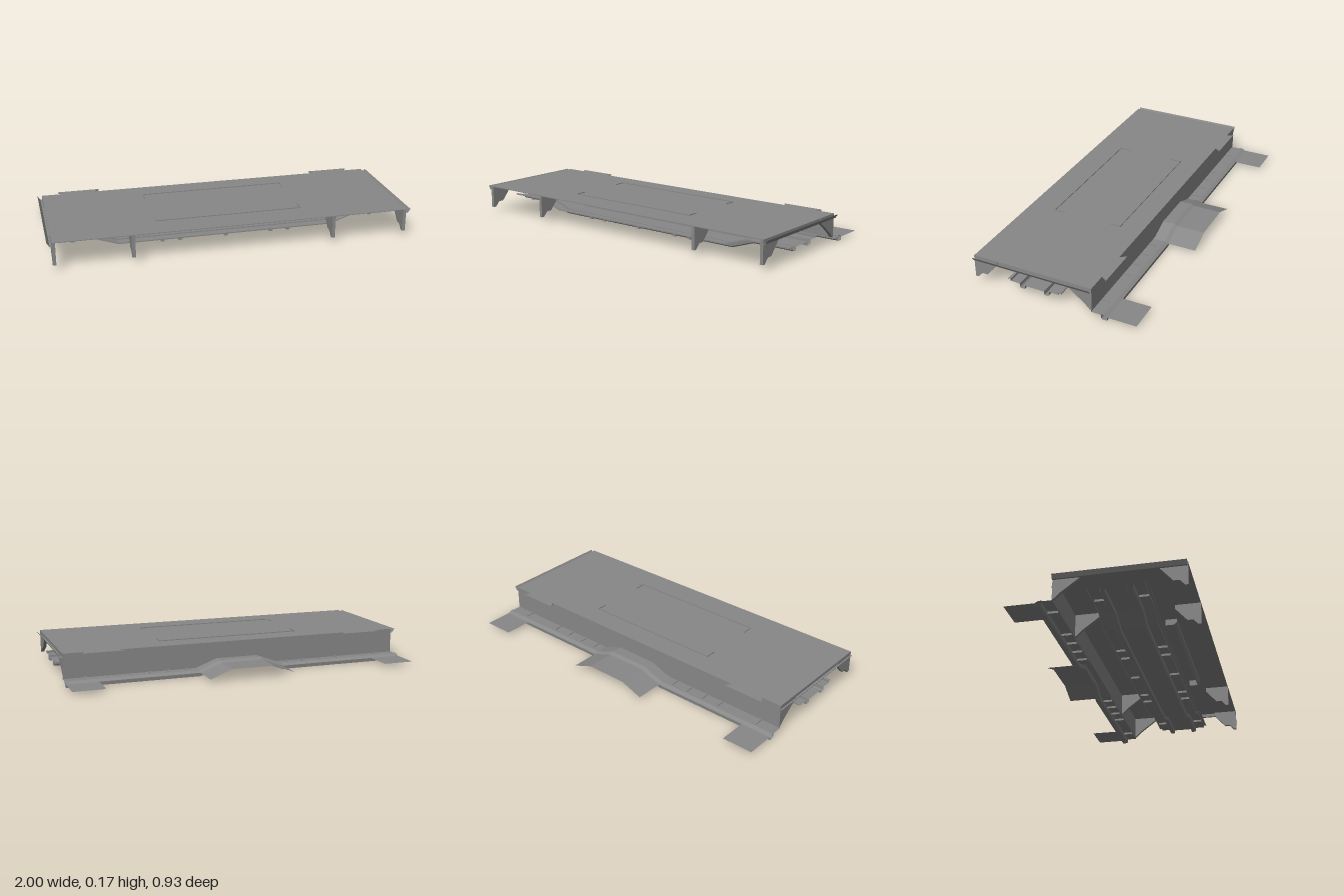
import * as THREE from 'three';

export function createModel() {
  const model = new THREE.Group();
  const grey = new THREE.MeshStandardMaterial({ color: 0x888888, flatShading: true, side: THREE.DoubleSide });
  grey.name = 'concrete grey';

  function add(name, geometry, x = 0, y = 0, z = 0) {
    const mesh = new THREE.Mesh(geometry, grey);
    mesh.name = name;
    mesh.position.set(x, y, z);
    model.add(mesh);
    return mesh;
  }
  const box = (name, w, h, d, x, y, z) => add(name, new THREE.BoxGeometry(w, h, d), x, y, z);

  // Sheet swept along x: section is [z, y] points, rise(x) lifts each station
  function sweep(name, section, stations, rise = () => 0) {
    const pos = [];
    for (let i = 0; i < stations.length - 1; i++) {
      for (let j = 0; j < section.length - 1; j++) {
        const p = (s, k) => [stations[s], section[k][1] + rise(stations[s]), section[k][0]];
        const a = p(i, j), b = p(i + 1, j), c = p(i + 1, j + 1), d = p(i, j + 1);
        pos.push(...a, ...b, ...c, ...a, ...c, ...d);
      }
    }
    const g = new THREE.BufferGeometry();
    g.setAttribute('position', new THREE.Float32BufferAttribute(pos, 3));
    g.computeVertexNormals();
    return add(name, g);
  }

  // Upright plate in the z-y plane, given thickness along x
  function sidePlate(name, points, thickness, x) {
    const shape = new THREE.Shape(points.map(([z, y]) => new THREE.Vector2(-z, y)));
    const g = new THREE.ExtrudeGeometry(shape, { depth: thickness, bevelEnabled: false });
    g.translate(0, 0, -thickness / 2);
    g.rotateY(Math.PI / 2);
    return add(name, g, x);
  }

  // Upper deck and rear wall
  box('deck', 1.95, 0.004, 0.68, 0, 0.162, 0.122);
  box('rearWall', 1.95, 0.129, 0.004, 0, 0.0985, -0.216);

  for (const side of [-1, 1]) {
    // Gutter and sloped kerb at each end of the deck
    const profile = [[0.971, 0.163], [0.971, 0.141], [0.985, 0.141], [1, 0.163]];
    for (let i = 0; i < 3; i++) {
      const [[x0, y0], [x1, y1]] = [profile[i], profile[i + 1]];
      const g = new THREE.PlaneGeometry(Math.hypot(x1 - x0, y1 - y0), 0.68);
      g.rotateX(-Math.PI / 2);
      g.rotateZ(Math.atan2(y1 - y0, x1 - x0));
      const strip = add('endKerb', g, (x0 + x1) / 2, (y0 + y1) / 2, 0.122);
      if (side < 0) {
        strip.position.x *= -1;
        strip.rotation.y = Math.PI;
      }
    }

    // Flared tabs on the rear edge of the deck
    const tab = new THREE.Shape([
      new THREE.Vector2(-0.095, 0.218), new THREE.Vector2(0.095, 0.218),
      new THREE.Vector2(0.118, 0.252), new THREE.Vector2(-0.118, 0.252),
    ]);
    const tabGeometry = new THREE.ExtrudeGeometry(tab, { depth: 0.007, bevelEnabled: false });
    tabGeometry.rotateX(-Math.PI / 2);
    add('rearTab', tabGeometry, side * 0.763, 0.157, 0);

    // Brackets below the deck
    for (const x of [0.966, 0.552]) {
      sidePlate('frontBracket', [[0.325, 0.161], [0.325, 0.138], [0.39, 0.065], [0.42, 0.065],
        [0.447, 0.036], [0.463, 0.036], [0.463, 0.161]], 0.018, side * x);
      sidePlate('rearBracket', [[-0.08, 0.161], [-0.08, 0.138], [-0.178, 0.065],
        [-0.208, 0.035], [-0.217, 0.035], [-0.217, 0.161]], 0.018, side * x);
    }
  }

  // Two thin C-shaped frames standing through the deck
  for (const [outer, inner] of [[0.308, 0.245], [-0.093, -0.03]]) {
    const chamfer = outer + Math.sign(inner - outer) * 0.015;
    sweep('frameFace', [[outer, 0.169], [outer, 0.14], [chamfer, 0.126]], [-0.408, 0.408]);
    for (const x of [-0.408, 0.408]) {
      sidePlate('frameArm', [[outer, 0.169], [outer, 0.14], [chamfer, 0.126],
        [inner, 0.126], [inner, 0.169]], 0.002, x);
    }
  }

  // Lower track: low in the middle, ramped up toward both ends
  const clamp = THREE.MathUtils.clamp;
  const trackRise = x => 0.045 * clamp((Math.abs(x) - 0.605) / 0.132, 0, 1);
  const half = [[0.262, 0.031], [0.262, 0.037], [0.247, 0.037], [0.247, 0.026], [0.194, 0.026],
    [0.192, 0.006], [0.186, 0], [0.165, 0], [0.163, 0.02]];
  const mirrored = half.map(([z, y]) => [0.215 - z, y]).reverse();
  sweep('lowerTrack', [...half, ...mirrored], [-0.978, -0.737, -0.605, 0.605, 0.737, 0.978], trackRise);
  for (const x of [-0.85, -0.36, -0.26, 0, 0.26, 0.36, 0.85]) {
    for (const z of [0.222, -0.007]) box('trackTie', 0.02, 0.012, 0.05, x, 0.02 + trackRise(x), z);
  }

  // Rear track, humped in the middle
  const rearRise = x => 0.046 * clamp((0.243 - Math.abs(x)) / 0.123, 0, 1);
  const humpStations = [-0.243, -0.12, 0.12, 0.243];
  sweep('rearTrack', [[-0.215, 0.036], [-0.215, 0.026], [-0.27, 0.026], [-0.272, 0.006], [-0.278, 0],
    [-0.303, 0], [-0.305, 0.019]], [-0.978, ...humpStations, 0.978], rearRise);
  sweep('rearRailCap', [[-0.268, 0.026], [-0.268, 0.03], [-0.285, 0.03], [-0.305, 0.019]],
    [-0.978, ...humpStations, 0.978], rearRise);
  for (const x of [0.3, 0.4, 0.505, 0.61, 0.86]) {
    for (const side of [-1, 1]) box('rearTie', 0.016, 0.016, 0.06, side * x, 0.022, -0.247);
  }

  // Rear aprons
  const apron = [[-0.305, 0.019], [-0.465, 0.019]];
  sweep('middleApron', apron, humpStations, rearRise);
  sweep('endApron', apron, [-0.978, -0.803]);
  sweep('endApron', apron, [0.803, 0.978]);

  return model;
}
